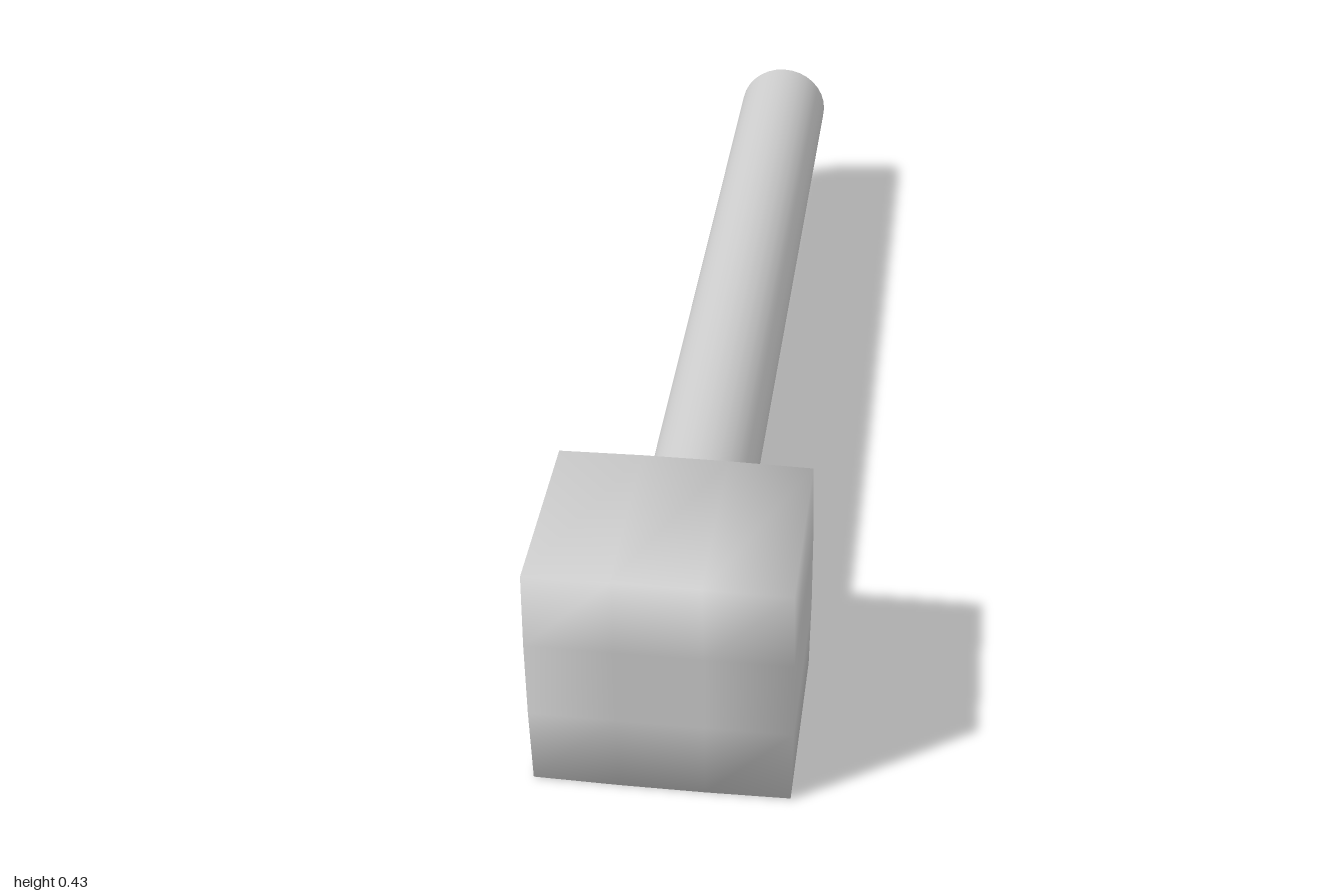
import * as THREE from 'three';
import { mergeGeometries, mergeVertices } from 'three/addons/utils/BufferGeometryUtils.js';

const SIZE = 0.43, HALF = SIZE / 2, DEPTH = 0.33;
const HEAD_Z = 1 - DEPTH / 2, BACK_Z = 1 - DEPTH;
const RADIUS = 0.095, SIDES = 32, HANDLE_Y = 0.224;

// Block with a round socket in its back, welded so the normals run smoothly over the edges
function headGeometry() {
  const box = new THREE.BoxGeometry(SIZE, SIZE, DEPTH, 3, 3, 1);
  const back = box.groups[5];
  box.setIndex(Array.from(box.index.array).slice(0, back.start));
  box.clearGroups();

  // Back plate, outlined in thirds to match the block
  const outline = [];
  const corners = [[-1, -1], [1, -1], [1, 1], [-1, 1]];
  corners.forEach(([ax, ay], i) => {
    const [bx, by] = corners[(i + 1) % 4];
    for (let k = 0; k < 3; k++) {
      const t = k / 3;
      outline.push(new THREE.Vector2((ax + (bx - ax) * t) * HALF, (ay + (by - ay) * t) * HALF));
    }
  });
  const plate = new THREE.Shape(outline);
  plate.holes.push(new THREE.Path().absarc(0, HANDLE_Y - HALF, RADIUS, 0, Math.PI * 2, true));
  const plateGeometry = new THREE.ShapeGeometry(plate, SIDES / 2);
  plateGeometry.rotateY(Math.PI).translate(0, 0, -DEPTH / 2);

  const parts = [box, plateGeometry];
  parts.forEach(g => { g.deleteAttribute('normal'); g.deleteAttribute('uv'); });
  const head = mergeVertices(mergeGeometries(parts));

  // Ease the four long edges slightly inward
  const p = head.attributes.position;
  for (let i = 0; i < p.count; i++) {
    const x = p.getX(i), y = p.getY(i);
    if (Math.abs(x) > HALF - 0.001 && Math.abs(y) > HALF - 0.001) {
      p.setXY(i, x * 0.988, y * 0.988);
    }
  }
  head.computeVertexNormals();
  return head;
}

export function createModel() {
  const group = new THREE.Group();
  const material = new THREE.MeshStandardMaterial({ color: 0xcccccc, side: THREE.DoubleSide });

  const head = new THREE.Mesh(headGeometry(), material);
  head.name = 'head';
  head.position.set(0, HALF, HEAD_Z);
  group.add(head);

  // Hollow handle, open at the far end
  const length = BACK_Z + 1;
  const handle = new THREE.Mesh(
    new THREE.CylinderGeometry(RADIUS, RADIUS, length, SIDES, 1, true).rotateX(Math.PI / 2),
    material
  );
  handle.name = 'handle';
  handle.position.set(0, HANDLE_Y, (BACK_Z - 1) / 2);
  group.add(handle);

  return group;
}
